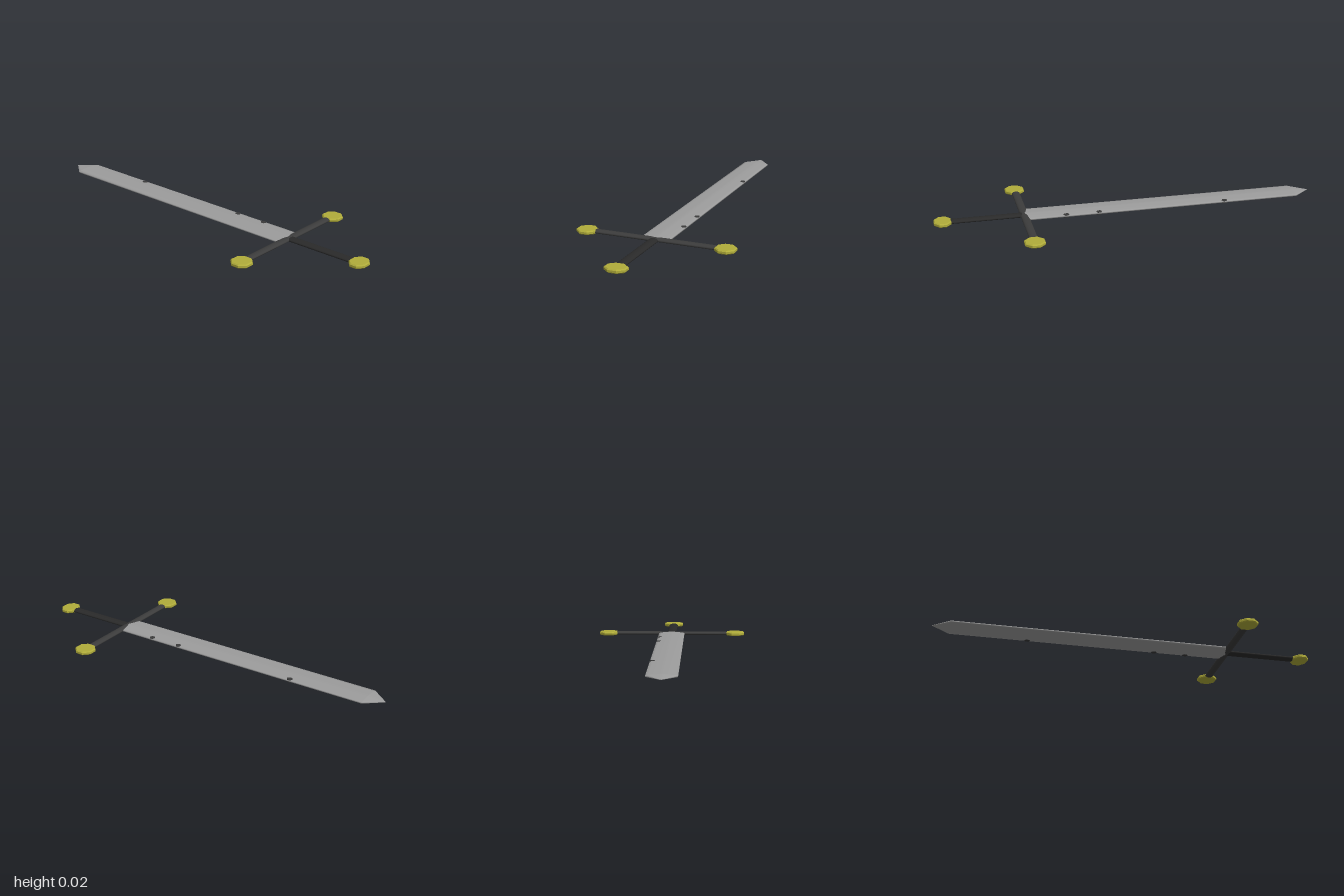
import * as THREE from 'three';

const mat = (name, color, extra = {}) => {
  const m = new THREE.MeshStandardMaterial({ color, ...extra });
  m.name = name;
  return m;
};

const MID = 0.01; // half the thickness: the sword lies flat on y = 0

// Skin between cross-sections [z, half width, half thickness], front to back
function loftBlade(stations) {
  const ring = (w, h) => [
    [w, -0.35 * h], [w, 0.35 * h], [0.8 * w, 0.62 * h], [0.12 * w, h], [-0.12 * w, h], [-0.8 * w, 0.62 * h],
    [-w, 0.35 * h], [-w, -0.35 * h], [-0.8 * w, -0.62 * h], [-0.12 * w, -h], [0.12 * w, -h], [0.8 * w, -0.62 * h],
  ];
  const pos = [], index = [], n = 12;
  stations.forEach(([z, w, h], s) => {
    ring(w, h).forEach(([x, y]) => pos.push(x, y + MID, z));
    if (s === 0) return;
    for (let i = 0; i < n; i++) {
      const a = (s - 1) * n + i, b = (s - 1) * n + (i + 1) % n;
      index.push(a, a + n, b, b, a + n, b + n);
    }
  });
  const g = new THREE.BufferGeometry();
  g.setAttribute('position', new THREE.Float32BufferAttribute(pos, 3));
  g.setIndex(index);
  g.computeVertexNormals();
  return g;
}

export function createModel() {
  const sword = new THREE.Group();
  sword.name = 'sword';
  const steel = mat('steel', 0x9c9c9c);
  const darkSteel = mat('dark steel', 0x3a3a3a);
  const iron = mat('dark iron', 0x3c3c3c);
  const leather = mat('black leather', 0x2a2a2a);
  const gold = mat('old gold', 0xb0ac3a, { flatShading: true });

  const add = (name, geo, material, x = 0, y = 0, z = 0) => {
    const m = new THREE.Mesh(geo, material);
    m.name = name;
    m.position.set(x, y, z);
    sword.add(m);
    return m;
  };

  // Blade and its pointed tip
  add('blade', loftBlade([[0.54, 0.072, 0.0095], [-0.91, 0.072, 0.0095]]), steel);
  add('bladeTip', loftBlade([[-0.91, 0.072, 0.0095], [-1, 0.001, 0.001]]), steel);

  // Small nicks along one cutting edge
  for (const z of [-0.51, 0.165, 0.335]) {
    add('edgeNick', new THREE.CylinderGeometry(0.014, 0.014, 0.0145, 6).scale(1, 1, 1.1), darkSteel, 0.0595, MID, z);
  }

  // Flattened round crossguard
  add('crossguard', new THREE.CylinderGeometry(1, 1, 0.68, 16).rotateZ(Math.PI / 2).scale(1, 0.0098, 0.021), iron, 0, MID, 0.543);

  // Grip
  add('grip', new THREE.CylinderGeometry(1, 1, 0.38, 16).rotateX(Math.PI / 2).scale(0.025, 0.0098, 1), leather, 0, MID, 0.745);

  // Bevelled octagonal knobs on the guard ends and the pommel
  const r = 1 / Math.cos(Math.PI / 8);
  const profile = [[0, 0], [0.9 * r, 0], [r, 0.005], [r, 0.015], [0.9 * r, 0.02], [0, 0.02]]
    .map(([x, y]) => new THREE.Vector2(x, y));
  const knob = (hx, hz) => new THREE.LatheGeometry(profile, 8, Math.PI / 8).scale(hx, 1, hz);
  for (const side of [-1, 1]) add('guardKnob', knob(0.051, 0.05), gold, side * 0.361, 0, 0.545);
  add('pommel', knob(0.054, 0.044), gold, 0, 0, 0.956);

  return sword;
}
